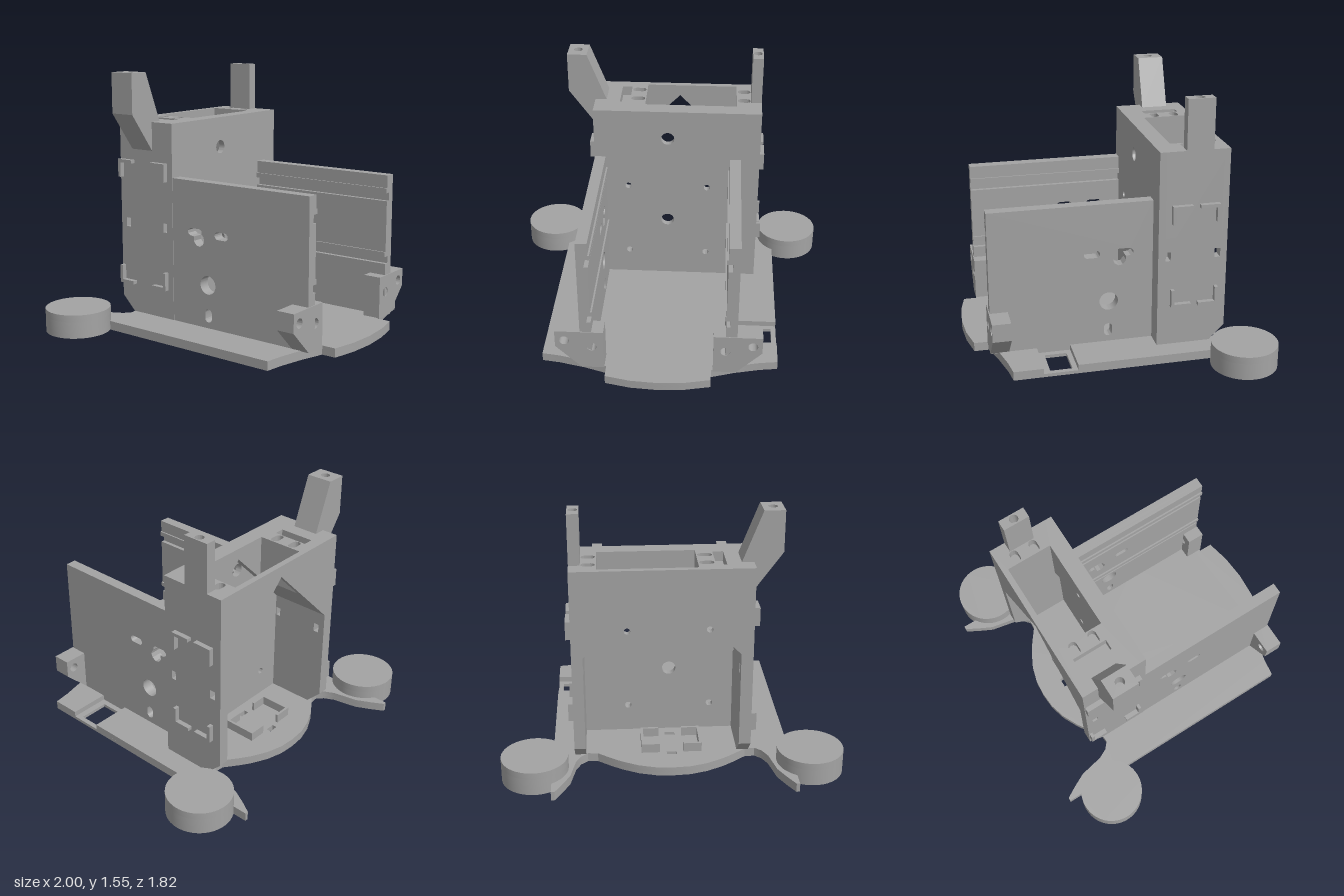
import * as THREE from 'three';
import { toCreasedNormals } from 'three/addons/utils/BufferGeometryUtils.js';

export function createModel() {
  const model = new THREE.Group();
  const grey = new THREE.MeshStandardMaterial({ name: 'plainGrey', color: 0xa3a3a3 });

  const add = (name, geometry) => {
    const mesh = new THREE.Mesh(geometry, grey);
    mesh.name = name;
    model.add(mesh);
    return mesh;
  };
  const box = (name, x0, x1, y0, y1, z0, z1) =>
    add(name, new THREE.BoxGeometry(x1 - x0, y1 - y0, z1 - z0)
      .translate((x0 + x1) / 2, (y0 + y1) / 2, (z0 + z1) / 2));

  // Outline helpers
  const poly = (pts) => new THREE.Shape(pts.map(([a, b]) => new THREE.Vector2(a, b)));
  const rect = (a0, a1, b0, b1) => poly([[a0, b0], [a1, b0], [a1, b1], [a0, b1]]);
  const circle = (a, b, r) => new THREE.Shape().absarc(a, b, r, 0, Math.PI * 2, false);
  const slot = (a, b, w, h) => {
    const r = Math.min(w, h) / 2, dx = w / 2 - r, dy = h / 2 - r, s = new THREE.Shape();
    if (dx > 0) {
      s.absarc(a + dx, b, r, -Math.PI / 2, Math.PI / 2, false);
      s.absarc(a - dx, b, r, Math.PI / 2, Math.PI * 1.5, false);
    } else {
      s.absarc(a, b + dy, r, 0, Math.PI, false);
      s.absarc(a, b - dy, r, Math.PI, Math.PI * 2, false);
    }
    return s;
  };
  const extrude = (shape, holes, depth) => {
    shape.holes = holes;
    return toCreasedNormals(new THREE.ExtrudeGeometry(shape, { depth, bevelEnabled: false, curveSegments: 24 }), 0.5);
  };
  // Outline in x,y extruded along z
  const alongZ = (name, shape, z0, z1, holes = []) =>
    add(name, extrude(shape, holes, z1 - z0).translate(0, 0, z0));
  // Outline in x,z extruded along y
  const alongY = (name, shape, y0, y1, holes = []) =>
    add(name, extrude(shape, holes, y1 - y0).rotateX(Math.PI / 2).translate(0, y1, 0));
  // Outline in z,y extruded along x
  const alongX = (name, shape, x0, x1, holes = []) =>
    add(name, extrude(shape, holes, x1 - x0).rotateY(-Math.PI / 2).translate(x1, 0, 0));
  const mirrored = (side, x0, x1) => (side > 0 ? [x0, x1] : [-x1, -x0]);

  // Base plate: half outline from the back centre to the front centre
  const wheel = { x: 0.805, z: -0.655, r: 0.195 };
  const baseOutline = (notch) => {
    const half = [[0.1, -0.688], [0.2, -0.66], [0.3, -0.61], [0.36, -0.57], [0.44, -0.51], [0.5, -0.505],
      [0.54, -0.54], [0.57, -0.6], [0.6, -0.75], [0.645, -0.84], [0.685, -0.91], [0.705, -0.91]];
    for (let i = 0; i <= 10; i++) {
      const a = Math.PI - 1.03 + (2.06 * i) / 10;
      half.push([wheel.x + 0.194 * Math.cos(a), wheel.z - 0.194 * Math.sin(a)].map((v) => v));
    }
    const front = [[0.705, 0.685], [0.6, 0.7], [0.45, 0.735], [0.31, 0.78], [0.31, 0.865], [0.16, 0.897]];
    const cut = notch ? [[0.705, 0.31], [0.455, 0.31], [0.455, 0.51], [0.705, 0.51]] : [];
    const left = half.concat(cut, front);
    const right = half.concat(front).map(([x, z]) => [-x, z]).reverse();
    return poly([[0, -0.695], ...left, [0, 0.908], ...right]);
  };
  alongY('baseLowerLayer', baseOutline(false), 0, 0.02,
    [rect(0.49, 0.675, 0.34, 0.47), rect(-0.03, 0.03, -0.55, -0.29)]);
  alongY('baseUpperLayer', baseOutline(true), 0.02, 0.054,
    [rect(-0.03, 0.03, -0.545, -0.515), rect(-0.03, 0.03, -0.315, -0.285)]);

  // Round caster housings, hollow underneath
  for (const s of [1, -1]) {
    const x = s * wheel.x, { z, r } = wheel;
    alongY('casterRing', circle(x, z, r), 0, 0.1,
      [circle(x, z, 0.13), circle(x + 0.124, z + 0.105, 0.02), circle(x - 0.124, z - 0.105, 0.02)]);
    alongY('casterCap', circle(x, z, r), 0.1, 0.142);
  }

  // Side walls: holed outer skin with inner strips that leave two grooves
  const wallHoles = [
    [0.53, 0.65, () => slot(0.175, 0.622, 0.095, 0.045)],
    [0.53, 0.65, () => poly([[0.03, 0.615], [0.03, 0.633], [0.018, 0.645], [-0.055, 0.645], [-0.072, 0.63],
      [-0.072, 0.612], [-0.055, 0.6], [-0.027, 0.597], [-0.03, 0.57], [-0.01, 0.545], [0.015, 0.54],
      [0.04, 0.555], [0.049, 0.58], [0.043, 0.602]])],
    [0.26, 0.375, () => circle(0.075, 0.316, 0.056)],
    [0.08, 0.18, () => slot(0.078, 0.13, 0.05, 0.08)],
  ];
  const wallLayer = (name, side, x0, x1, y0, y1) =>
    alongX(name, rect(-0.19, 0.78, y0, y1), ...mirrored(side, x0, x1),
      wallHoles.filter(([a, b]) => a > y0 && b < y1).map((h) => h[2]()));
  for (const s of [1, -1]) {
    wallLayer('sideWall', s, 0.415, 0.457, 0.05, 0.928);
    for (const [y0, y1] of [[0.05, 0.38], [0.425, 0.77], [0.82, 0.928]]) wallLayer('sideWallInnerStrip', s, 0.39, 0.415, y0, y1);
    for (const y of [0.425, 0.82]) box('grooveLip', ...mirrored(s, 0.38, 0.39), y, y + 0.03, -0.19, 0.78);
    // Front mounting bracket with two screw holes
    const pts = [[0.32, 0.05], [0.455, 0.05], [0.605, 0.2], [0.605, 0.31], [0.32, 0.31]];
    alongZ('frontBracket', poly(pts.map(([x, y]) => [s * x, y])), 0.675, 0.785,
      [circle(s * 0.55, 0.245, 0.029), circle(s * 0.39, 0.205, 0.029)]);
  }

  // Tower front wall
  const screws = [-0.25, 0.25].flatMap((x) => [0.225, 0.72].map((y) => circle(x, y, 0.02)));
  alongZ('towerFrontWall', rect(-0.46, 0.575, 0.05, 1.25), -0.23, -0.19,
    [circle(0, 1.065, 0.041), circle(0, 0.472, 0.041), ...screws]);

  // Tower side walls, chamfered at the lower back corner
  for (const [x0, x1] of [[-0.46, -0.39], [0.51, 0.575]]) {
    alongX('towerSideWall', poly([[-0.23, 0.05], [-0.51, 0.05], [-0.605, 0.145], [-0.605, 0.73], [-0.23, 0.73]]), x0, x1,
      [rect(-0.265, -0.235, 0.59, 0.645), rect(-0.565, -0.53, 0.59, 0.645)]);
  }

  // Gabled upper tower, with a shaft through the middle
  const gable = () => poly([[-0.46, 0.73], [-0.39, 0.73], [0.06, 1.18], [0.51, 0.73], [0.575, 0.73], [0.575, 1.19], [-0.46, 1.19]]);
  alongZ('gableBack', gable(), -0.605, -0.57);
  alongZ('gableFront', gable(), -0.29, -0.23);
  alongZ('gableRightBlock', poly([[-0.46, 0.73], [-0.39, 0.73], [-0.145, 0.975], [-0.145, 1.19], [-0.46, 1.19]]), -0.57, -0.29);
  alongZ('gableLeftBlock', poly([[0.575, 0.73], [0.575, 1.19], [0.42, 1.19], [0.42, 0.82], [0.51, 0.73]]), -0.57, -0.29);
  const pockets = [-0.495, -0.37].flatMap((z) => [slot(-0.194, z, 0.085, 0.05), slot(0.467, z, 0.08, 0.05)]);
  alongY('towerTop', rect(-0.46, 0.575, -0.605, -0.23), 1.19, 1.25,
    [rect(-0.145, 0.42, -0.57, -0.29), rect(-0.305, -0.243, -0.535, -0.32), ...pockets]);

  // Upright post and slanted arm, each with a screw hole on top
  box('post', 0.51, 0.575, 1.25, 1.45, -0.505, -0.345);
  alongY('postTop', rect(0.51, 0.575, -0.505, -0.345), 1.45, 1.547, [circle(0.542, -0.425, 0.026)]);
  alongZ('slantedArm', poly([[-0.455, 1.07], [-0.455, 1.25], [-0.39, 1.25], [-0.505, 1.547], [-0.505, 1.447],
    [-0.625, 1.447], [-0.625, 1.305]]), -0.505, -0.345);
  alongY('slantedArmTop', rect(-0.625, -0.505, -0.505, -0.345), 1.447, 1.547, [circle(-0.565, -0.425, 0.027)]);

  // Corner rails on the tower sides
  const corners = (x0, x1, zc, hz, yc, hy, len) => {
    for (const sz of [1, -1]) for (const sy of [1, -1]) {
      const p = (a, b) => [zc + sz * (hz - a), yc + sy * (hy - b)];
      alongX('cornerRail', poly([p(0, 0), p(len, 0), p(len, 0.02), p(0.02, 0.02), p(0.02, 0.11), p(0, 0.11)]), x0, x1);
    }
  };
  corners(0.575, 0.605, -0.408, 0.142, 0.616, 0.315, 0.12);
  corners(-0.49, -0.46, -0.415, 0.185, 0.622, 0.388, 0.11);

  // Holder frame on the floor inside the tower
  for (const s of [1, -1]) {
    box('holderEnd', ...mirrored(s, 0.165, 0.18), 0.05, 0.11, -0.52, -0.315);
    for (const z of [-0.52, -0.33]) box('holderSide', ...mirrored(s, 0.07, 0.165), 0.05, 0.11, z, z + 0.015);
  }
  return model;
}
